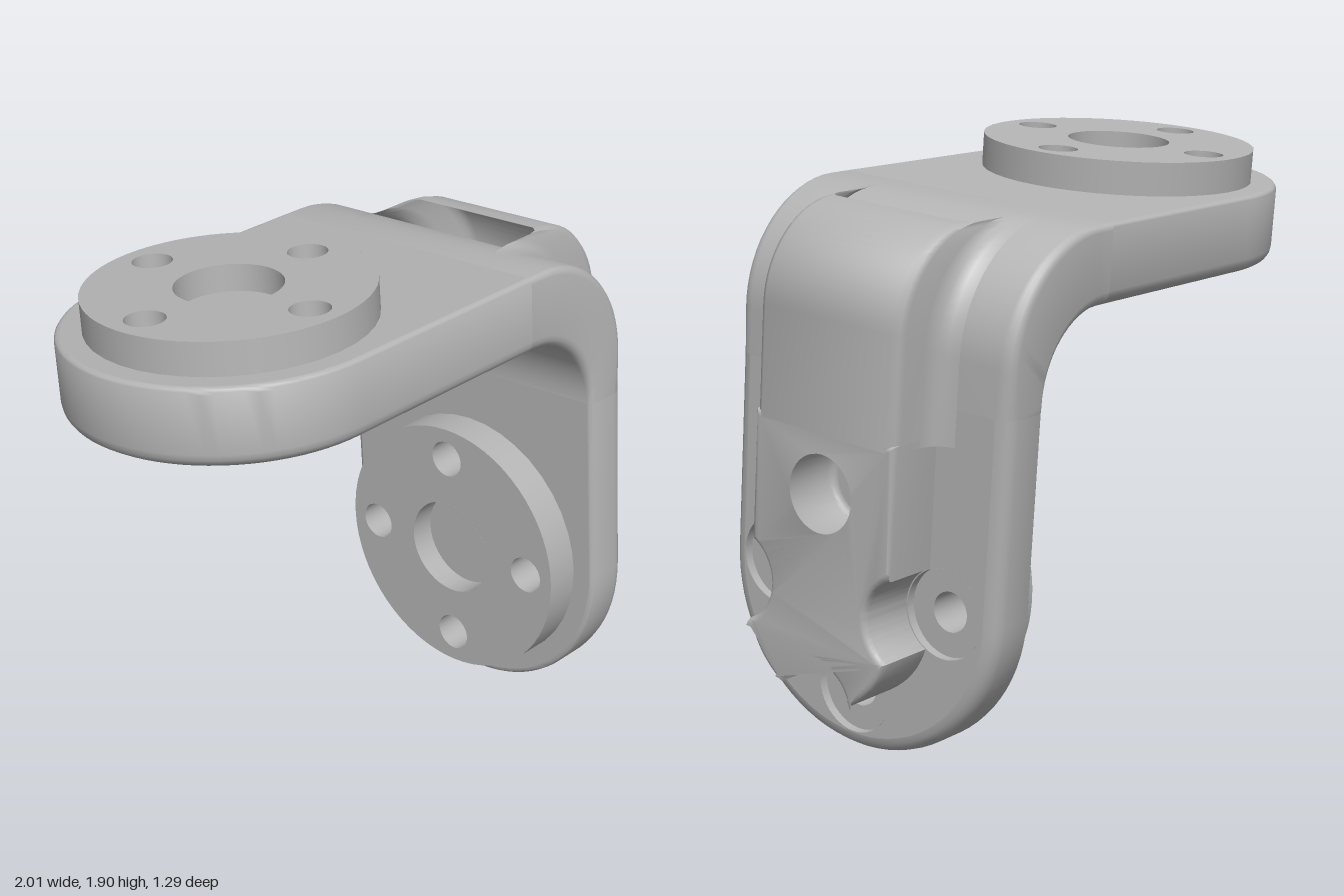
import * as THREE from 'three';
import { toCreasedNormals } from 'three/addons/utils/BufferGeometryUtils.js';

const R = 0.545;          // half width of the bracket
const BOLT = 0.345;       // bolt circle radius
const BORE = 0.065, SINK = 0.145, FLANGE = 0.458, POCKET = 0.172;
const bolts = [[0, BOLT], [BOLT, 0], [0, -BOLT], [-BOLT, 0]];
const V = (x, y, z) => new THREE.Vector3(x, y, z);

// Smooth surface through rows of points
function grid(rows) {
  const n = rows[0].length, idx = [];
  for (let i = 0; i < rows.length - 1; i++) {
    for (let j = 0; j < n - 1; j++) {
      const a = i * n + j, b = a + n;
      idx.push(a, b, a + 1, b, b + 1, a + 1);
    }
  }
  const g = new THREE.BufferGeometry().setFromPoints(rows.flat());
  g.setIndex(idx);
  return toCreasedNormals(g, 0.7);
}

// Edge profile of a plate of thickness t: [inset, height], rounded by b0 and b1
function edgeProfile(t, b0, b1) {
  const pts = [];
  for (let i = 0; i <= 4; i++) {
    const a = (i / 4) * Math.PI / 2;
    pts.push([b0 * (1 - Math.sin(a)), b0 * (1 - Math.cos(a))]);
  }
  for (let i = 0; i <= 4; i++) {
    const a = (i / 4) * Math.PI / 2;
    pts.push([b1 * (1 - Math.cos(a)), t - b1 * (1 - Math.sin(a))]);
  }
  return pts;
}

// U-shaped outline: half circle below, straight sides up to y = len
function outline(r, len) {
  const pts = [[-r, len]];
  for (let i = 0; i <= 40; i++) {
    const a = Math.PI * (1 + i / 40);
    pts.push([r * Math.cos(a), r * Math.sin(a)]);
  }
  pts.push([r, len]);
  return pts;
}

function punch(shape, r, centres) {
  for (const [x, y] of centres) shape.holes.push(new THREE.Path().absarc(x, y, r, 0, Math.PI * 2, true));
  return shape;
}

export function createModel() {
  const metal = new THREE.MeshStandardMaterial({ color: 0xb4b4b4, side: THREE.DoubleSide });
  metal.name = 'grey metal';

  function add(parent, name, geo, x = 0, y = 0, z = 0) {
    const m = new THREE.Mesh(geo, metal);
    m.name = name;
    m.position.set(x, y, z);
    parent.add(m);
    return m;
  }
  // Open tube along z from z0 to z1
  function tube(parent, name, r, x, y, z0, z1) {
    const g = new THREE.CylinderGeometry(r, r, z1 - z0, 40, 1, true).rotateX(Math.PI / 2);
    add(parent, name, g, x, y, (z0 + z1) / 2);
  }

  // Round-ended plate with a flange on its -z side and counterbores on its +z side
  function pad(name, t, len, flange, sinkDepth) {
    const g = new THREE.Group();
    g.name = name;
    const b0 = 0.02, b1 = 0.05, floor = t - sinkDepth;
    add(g, 'plateEdge', grid(edgeProfile(t, b0, b1).map(([d, z]) => outline(R - d, len).map(([x, y]) => V(x, y, z)))));
    const face = (inset) => new THREE.Shape(outline(R - inset, len).map(([x, y]) => new THREE.Vector2(x, y)));
    add(g, 'flangeSideFace', new THREE.ShapeGeometry(punch(face(b0), BORE, bolts), 24));
    add(g, 'boreSideFace', new THREE.ShapeGeometry(punch(face(b1), SINK, bolts), 24), 0, 0, t);

    tube(g, 'flangeRim', FLANGE, 0, 0, -flange, 0);
    const disc = new THREE.Shape().absarc(0, 0, FLANGE, 0, Math.PI * 2);
    punch(punch(disc, BORE, bolts), POCKET, [[0, 0]]);
    add(g, 'flangeFace', new THREE.ShapeGeometry(disc, 32), 0, 0, -flange);
    tube(g, 'pocketWall', POCKET, 0, 0, -flange, -flange + 0.09);
    add(g, 'pocketFloor', new THREE.CircleGeometry(POCKET, 40), 0, 0, -flange + 0.09);

    for (const [x, y] of bolts) {
      tube(g, 'boltHole', BORE, x, y, -flange, floor);
      tube(g, 'counterbore', SINK, x, y, floor, t);
      add(g, 'counterboreFloor', new THREE.RingGeometry(BORE, SINK, 40), x, y, floor);
    }
    return g;
  }

  const bracket = new THREE.Group();
  bracket.name = 'bracket';

  // Upright leg pad, its flange facing the inside of the corner
  const leg = pad('legPad', 0.17, 0.65, 0.125, 0.03);
  leg.rotation.y = Math.PI / 2;
  bracket.add(leg);

  // Horizontal arm pad, its flange on top
  const arm = pad('armPad', 0.26, 0.78, 0.11, 0.1);
  arm.rotation.setFromRotationMatrix(new THREE.Matrix4().makeBasis(V(0, 0, -1), V(1, 0, 0), V(0, -1, 0)));
  arm.position.set(-1.08, 1.19, 0);
  bracket.add(arm);

  // Curved corner joining arm and leg
  const arcAt = (cx, cy, r, a) => V(cx + r * Math.cos(a), cy + r * Math.sin(a), 0);
  const K = 16;
  const stations = [[V(-0.3, 0.93, 0), V(-0.3, 1.19, 0)]];
  for (let i = 0; i <= K; i++) {
    const a = (1 - i / K) * Math.PI / 2;
    stations.push([arcAt(-0.27, 0.66, 0.27, a), arcAt(-0.22, 0.8, 0.39, a)]);
  }
  stations.push([V(0, 0.65, 0), V(0.17, 0.65, 0)]);
  add(bracket, 'corner', grid(stations.map(([inner, outer], i) => {
    const s = i / (stations.length - 1);
    const dir = outer.clone().sub(inner), t = dir.length();
    dir.normalize();
    const half = edgeProfile(t, 0.05 - 0.03 * s, 0.02 + 0.03 * s);
    const row = half.map(([d, h]) => inner.clone().addScaledVector(dir, h).setZ(R - d));
    const back = half.map(([d, h]) => inner.clone().addScaledVector(dir, h).setZ(d - R)).reverse();
    return [...row, ...back, row[0].clone()];
  })));

  // Raised rib running round the outside of the corner, with flared foot
  const ribHalf = [[0.35, 0], [0.315, 0.06], [0.292, 0.18], [0.28, 0.4], [0.28, 0.82], [0.272, 0.93], [0.25, 1]];
  const ribSection = [...ribHalf, ...ribHalf.map(([w, t]) => [-w, t]).reverse()];
  const ribStations = [];
  for (let i = 0; i <= K; i++) {
    const a = (1 - i / K) * Math.PI / 2;
    ribStations.push([arcAt(-0.22, 0.8, 0.39, a), arcAt(0.07, 0.89, 0.3, a)]);
  }
  ribStations.push([V(0.17, 0.53, 0), V(0.37, 0.53, 0)]);
  add(bracket, 'upperRib', grid(ribStations.map(([a, b]) =>
    ribSection.map(([w, t]) => a.clone().lerp(b, t).setZ(w)))));

  // Lower rib, cut away around the bolt seats
  const s = new THREE.Shape();
  const bite = Math.atan2(0.132, -0.06);
  const scoop = 0.25;
  s.moveTo(0.28, 0.555);
  s.lineTo(0.28, 0.132);
  s.absarc(BOLT - 0.005, 0, SINK, bite, -bite + Math.PI * 2, false);
  s.quadraticCurveTo(0.25, -0.24, 0.14, -0.31);
  s.absarc(0, -BOLT, SINK, scoop, Math.PI - scoop, false);
  s.quadraticCurveTo(-0.25, -0.24, -0.28, -0.132);
  s.absarc(-BOLT + 0.005, 0, SINK, bite - Math.PI, Math.PI - bite, false);
  s.lineTo(-0.28, 0.555);
  punch(s, SINK, [[0, BOLT]]);
  const bevel = 0.02;
  const lower = new THREE.ExtrudeGeometry(s, {
    depth: 0.22 - 2 * bevel, bevelEnabled: true, bevelSize: bevel, bevelThickness: bevel,
    bevelOffset: -bevel, bevelSegments: 3, curveSegments: 20,
  });
  add(leg, 'lowerRib', toCreasedNormals(lower, 0.7), 0, 0, 0.15 + bevel);

  // The whole bracket stands slightly tilted
  bracket.position.set(0.6, 0.55, 0.11);
  bracket.rotation.set(-0.09, -0.087, -0.025);
  const model = new THREE.Group();
  model.name = 'cornerBracket';
  model.add(bracket);
  return model;
}
